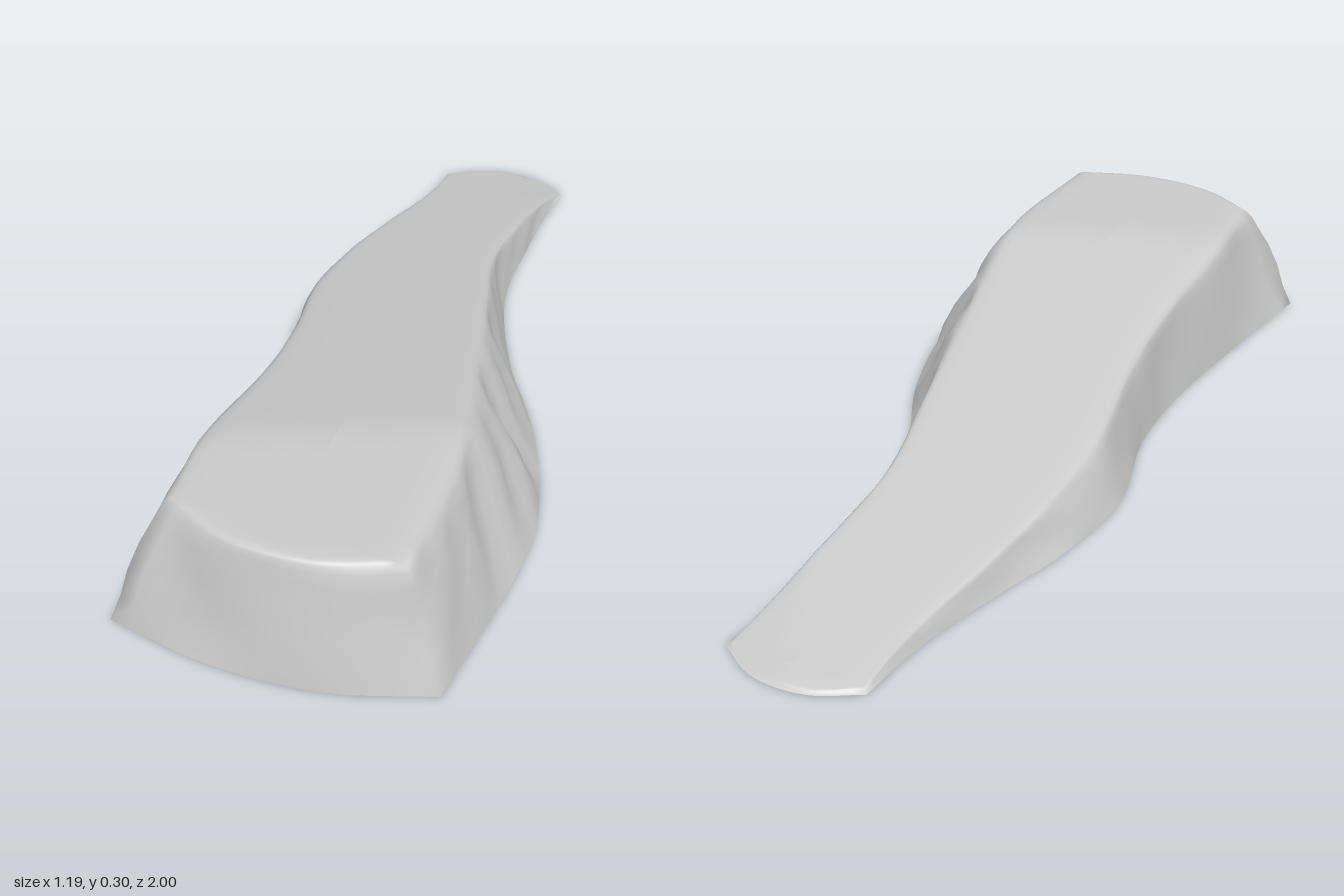
import * as THREE from 'three';

const BASE_Y = 0.006;
const lerp = THREE.MathUtils.lerp;

// Plan outlines as [x, z], matching stations from the high front to the low tip
const rightBase = [[-.6, .74], [-.45, .48], [-.3, .2], [-.22, -.02], [-.18, -.28], [-.06, -.5], [.06, -.65], [.2, -.84], [.28, -.99]];
const rightRim = [[-.47, .7], [-.385, .46], [-.27, .22], [-.19, 0], [-.13, -.24], [-.02, -.48], [.08, -.64], [.21, -.83], [.285, -.98]];
const leftBase = [[.06, 1], [.27, .64], [.33, .48], [.36, .2], [.34, -.07], [.365, -.36], [.46, -.6], [.53, -.75], [.59, -.86]];
const leftRim = [[0, .93], [.13, .64], [.175, .46], [.225, .2], [.275, -.07], [.33, -.36], [.435, -.6], [.515, -.75], [.58, -.86]];
const frontBase = [[-.6, .74], [-.4, .88], [-.18, .97], [.06, 1]];
const frontRim = [[-.47, .7], [-.36, .83], [-.18, .915], [0, .93]];
const tipBase = [[.59, -.86], [.52, -.95], [.4, -1], [.28, -.99]];
const tipRim = [[.58, -.86], [.515, -.94], [.4, -.99], [.285, -.98]];

function sample(points, n) {
  const curve = new THREE.CatmullRomCurve3(points.map(([x, z]) => new THREE.Vector3(x, 0, z)), false, 'centripetal');
  return Array.from({ length: n + 1 }, (_, i) => curve.getPoint(i / n));
}

// Level at the front, then a straight slope down to the tip
function topHeight(x, z) {
  const slope = 0.012 + (z + 1) * 0.191;
  const h = 0.303 - Math.max(0, 0.303 - slope);
  return Math.max(BASE_Y + 0.003, Math.min(h, 0.303) - Math.max(0, x - 0.45) * 0.22);
}

// One closed loop: front arc, left side, tip arc, right side
const SIDE = 48, END = 15;
function loop(front, left, tip, right) {
  return [
    ...sample(front, END).slice(0, -1),
    ...sample(left, SIDE).slice(0, -1),
    ...sample(tip, END).slice(0, -1),
    ...sample(right, SIDE).reverse().slice(0, -1),
  ];
}

function rampGeometry() {
  const base = loop(frontBase, leftBase, tipBase, rightBase);
  const rim = loop(frontRim, leftRim, tipRim, rightRim);
  const l = sample(leftRim, SIDE), r = sample(rightRim, SIDE);
  const spine = l.map((p, i) => p.clone().add(r[i]).multiplyScalar(0.5));
  const n = base.length;
  const centre = (j) => {
    if (j < END) return spine[0];
    if (j < END + SIDE) return spine[j - END];
    if (j < 2 * END + SIDE) return spine[SIDE];
    return spine[SIDE - (j - 2 * END - SIDE)];
  };

  // Rings: [base-to-rim fraction, height fraction, rim-to-spine fraction]
  const rings = [[0, 0, 0], [.22, .2, 0], [.44, .42, 0], [.64, .64, 0], [.82, .82, 0], [.93, .92, 0],
    [1, .965, .015], [1, .985, .06], [1, .995, .13], [1, 1, .25], [1, 1, .5], [1, 1, .75], [1, 1, 1]];
  const pos = [], index = [];
  rings.forEach(([s, h, u], k) => {
    for (let j = 0; j < n; j++) {
      const b = base[j], m = rim[j], c = centre(j);
      // Gentle weathered dents on the walls
      const dent = Math.sin(s * Math.PI) * (0.09 * Math.sin(b.z * 19 + b.x * 7) + 0.07 * Math.sin(b.z * 37 + h * 5));
      const x = lerp(lerp(b.x, m.x, s + dent), c.x, u);
      const z = lerp(lerp(b.z, m.z, s + dent), c.z, u);
      pos.push(x, lerp(BASE_Y, topHeight(x, z), h), z);
      if (k < rings.length - 1) {
        const a = k * n + j, d = k * n + (j + 1) % n;
        index.push(a, d, d + n, a, d + n, a + n);
      }
    }
  });
  const g = new THREE.BufferGeometry();
  g.setAttribute('position', new THREE.Float32BufferAttribute(pos, 3));
  g.setIndex(index);
  g.computeVertexNormals();
  // The spine is shared by several loop points, so its normals follow the ring outside it
  const normal = g.attributes.normal, last = (rings.length - 1) * n;
  for (let j = 0; j < n; j++) {
    const i = last + j - n;
    normal.setXYZ(last + j, normal.getX(i), normal.getY(i), normal.getZ(i));
  }
  return g;
}

export function createModel() {
  const group = new THREE.Group();
  group.name = 'rockRamp';
  // Open-bottomed shell
  const shell = new THREE.Mesh(rampGeometry(), new THREE.MeshStandardMaterial({ color: 0xcccccc, side: THREE.DoubleSide }));
  shell.name = 'rampShell';
  group.add(shell);
  return group;
}
